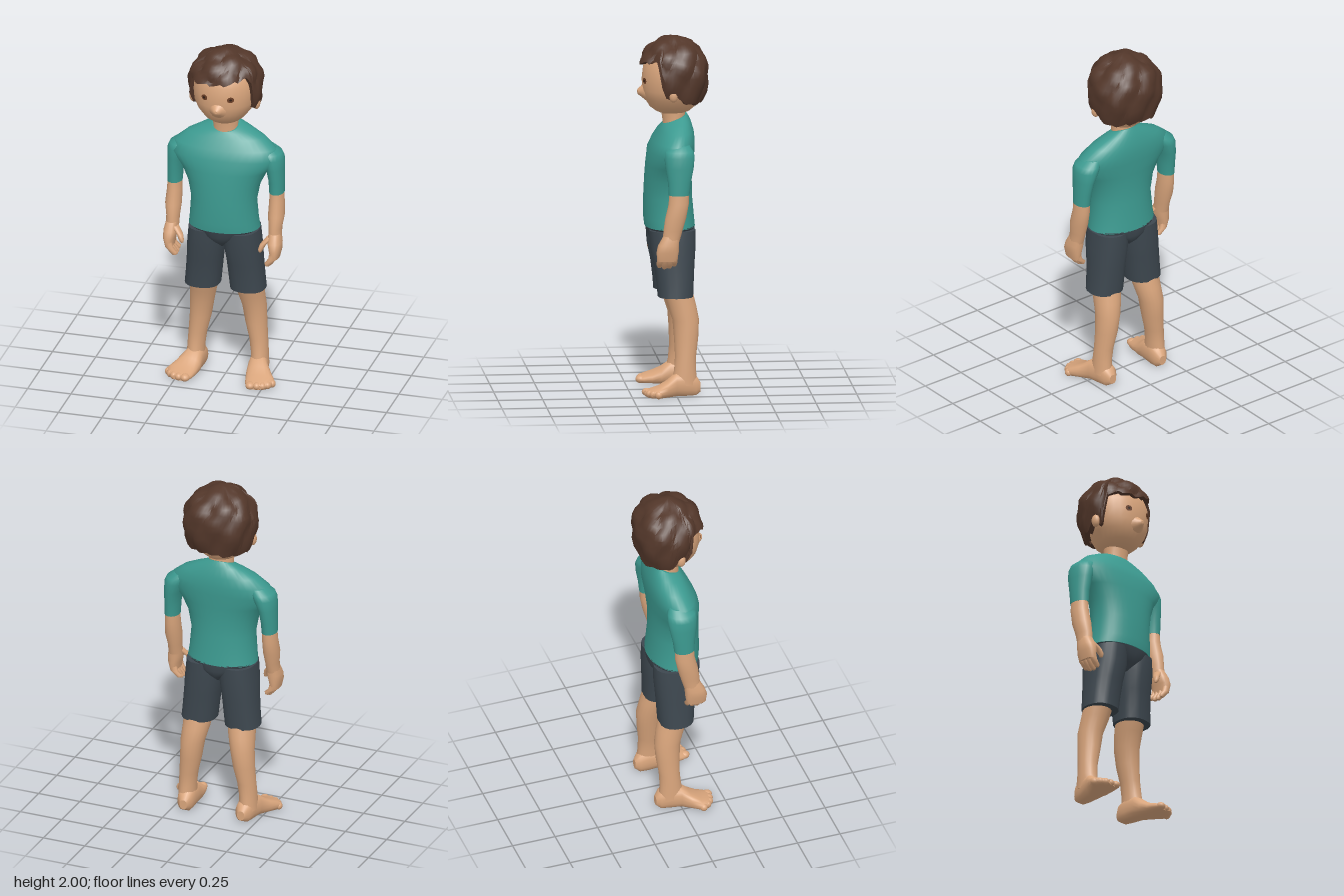
import * as THREE from 'three';
import { toCreasedNormals } from 'three/addons/utils/BufferGeometryUtils.js';

const mat = (name, color) => {
  const m = new THREE.MeshStandardMaterial({ color });
  m.name = name;
  return m;
};

// Loft through rings [along, centreX, radiusX, back, front, tilt]. Rings rise along y;
// with axis 'z' they run from front to back and back/front mean bottom/top.
// side = -1 mirrors the part in x.
function loft(rings, { side = 1, n = 20, power = 2, axis = 'y' } = {}) {
  const pos = [], idx = [];
  const tri = (a, b, c) => (side < 0 ? idx.push(a, c, b) : idx.push(a, b, c));
  const put = (x, a, d) => {
    if (axis === 'z') pos.push(side * x, Math.max(0, d), a);
    else pos.push(side * x, a, d);
    return pos.length / 3 - 1;
  };
  const bend = (v) => Math.sign(v) * Math.abs(v) ** (2 / power);
  const ring = ([a, cx, rx, b, f, tilt = 0]) => {
    const start = pos.length / 3;
    for (let i = 0; i < n; i++) {
      const t = (i / n) * Math.PI * 2, s = bend(Math.sin(t));
      put(cx + rx * bend(Math.cos(t)), a + tilt * s, (b + f) / 2 + ((f - b) / 2) * s);
    }
    return start;
  };
  const starts = rings.map(ring);
  for (let j = 0; j < starts.length - 1; j++) {
    for (let i = 0; i < n; i++) {
      const k = (i + 1) % n, p = starts[j], q = starts[j + 1];
      tri(p + i, q + i, p + k);
      tri(p + k, q + i, q + k);
    }
  }
  // End caps with their own vertices, so rims stay crisp
  [rings[0], rings[rings.length - 1]].forEach((r, end) => {
    const s = ring(r), c = put(r[1], r[0], (r[3] + r[4]) / 2);
    for (let i = 0; i < n; i++) {
      const k = (i + 1) % n;
      if (end) tri(c, s + k, s + i);
      else tri(c, s + i, s + k);
    }
  });
  const g = new THREE.BufferGeometry();
  g.setAttribute('position', new THREE.Float32BufferAttribute(pos, 3));
  g.setIndex(idx);
  g.computeVertexNormals();
  return g;
}

// Hairline height by angle from the front, in degrees
const HAIRLINE = [[-180, 1.64], [-130, 1.63], [-100, 1.65], [-87, 1.7], [-78, 1.66], [-68, 1.67], [-62, 1.84], [-25, 1.84],
  [0, 1.845], [25, 1.86], [52, 1.88], [62, 1.84], [68, 1.68], [78, 1.66], [87, 1.7], [100, 1.65], [130, 1.63], [180, 1.64]];
function hairline(deg) {
  const k = Math.max(1, HAIRLINE.findIndex((p) => p[0] >= deg));
  const [a, b] = [HAIRLINE[k - 1], HAIRLINE[k]];
  return a[1] + ((b[1] - a[1]) * (deg - a[0])) / (b[0] - a[0]);
}

// Shell of rounded tufts that ends along the hairline
function hairGeometry() {
  const tufts = [];
  for (let i = 0; i < 34; i++) {
    const y = 1 - (2 * i) / 34, r = Math.sqrt(1 - y * y);
    tufts.push(new THREE.Vector3(r * Math.cos(i * 2.4), y, r * Math.sin(i * 2.4)));
  }
  const N = 60, M = 12, pos = [], idx = [], dir = new THREE.Vector3();
  for (let j = 0; j <= M + 1; j++) {
    for (let i = 0; i < N; i++) {
      const deg = (i / N) * 360 - 180, a = (deg * Math.PI) / 180;
      const edge = hairline(deg) + 0.01 * ((i % 4) / 2 - 0.75);
      const phi = Math.acos((edge - 1.8) / (edge > 1.8 ? 0.2 : 0.28)) * Math.min(1, j / M);
      const sx = Math.sin(a), cz = Math.cos(a), c = Math.cos(phi);
      // Fuller below the middle and towards the back corners
      const s = c < 0 ? Math.sin(phi) ** 0.75 : Math.sin(phi);
      const full = cz < 0 ? (Math.abs(sx) ** 2.5 + Math.abs(cz) ** 2.5) ** -0.4 : 1;
      dir.set(Math.sin(phi) * sx, c, Math.sin(phi) * cz);
      const lump = 1 + 1.5 * (Math.max(...tufts.map((t) => t.dot(dir))) - 0.98);
      const out = s * full * lump * (j > M ? 0.82 : 1);
      pos.push(0.21 * sx * out, 1.8 + c * (c > 0 ? 0.194 * lump : 0.28), cz * (cz > 0 ? 0.198 : 0.196) * out);
    }
  }
  for (let j = 0; j <= M; j++) {
    for (let i = 0; i < N; i++) {
      const k = (i + 1) % N, p = j * N, q = p + N;
      if (j > 0) idx.push(p + i, q + i, p + k);
      idx.push(p + k, q + i, q + k);
    }
  }
  const g = new THREE.BufferGeometry();
  g.setAttribute('position', new THREE.Float32BufferAttribute(pos, 3));
  g.setIndex(idx);
  return toCreasedNormals(g, 0.6);
}

export function createModel() {
  const root = new THREE.Group();
  root.name = 'standingBoy';
  const skin = mat('skin', 0xd9a57c), shirt = mat('teal shirt', 0x3c9a90), shorts = mat('dark grey shorts', 0x3d474f);
  const hair = mat('brown hair', 0x53372a), iris = mat('eye brown', 0x6b4027), pupil = mat('pupil dark', 0x2f1c14);
  hair.side = THREE.DoubleSide;
  const add = (name, geometry, material) => {
    const m = new THREE.Mesh(geometry, material);
    m.name = name;
    root.add(m);
    return m;
  };
  const ball = (name, material, p, s) => {
    const m = add(name, new THREE.SphereGeometry(1, 14, 10), material);
    m.position.set(...p);
    m.scale.set(...s);
    return m;
  };

  // Head
  add('head', loft([
    [1.56, 0, 0.05, -0.05, 0.06], [1.575, 0, 0.085, -0.09, 0.095], [1.6, 0, 0.115, -0.12, 0.13],
    [1.65, 0, 0.152, -0.145, 0.162], [1.7, 0, 0.174, -0.16, 0.173], [1.76, 0, 0.18, -0.165, 0.175],
    [1.82, 0, 0.18, -0.165, 0.168], [1.88, 0, 0.16, -0.15, 0.145], [1.94, 0, 0.1, -0.09, 0.09], [1.96, 0, 0.03, -0.03, 0.03],
  ], { n: 28 }), skin);
  // Nose: a soft cone that blends into the face
  add('nose', loft([
    [0.2, 0, 0.008, 1.678, 1.694], [0.196, 0, 0.017, 1.668, 1.701], [0.182, 0, 0.028, 1.658, 1.712], [0.155, 0, 0.055, 1.635, 1.74],
  ], { axis: 'z' }), skin);
  add('neck', loft([[1.46, 0, 0.075, -0.07, 0.06], [1.53, 0, 0.07, -0.065, 0.06], [1.6, 0, 0.075, -0.07, 0.07]]), skin);
  add('hair', hairGeometry(), hair);

  // Shirt body, with a collar that dips at the front
  add('shirtBody', loft([
    [0.93, 0, 0.202, -0.12, 0.16], [0.98, 0, 0.195, -0.115, 0.166], [1.1, 0, 0.186, -0.104, 0.165],
    [1.2, 0, 0.206, -0.102, 0.16], [1.28, 0, 0.245, -0.108, 0.153], [1.36, 0, 0.312, -0.115, 0.142],
    [1.415, 0, 0.29, -0.117, 0.117], [1.47, 0, 0.222, -0.112, 0.085], [1.51, 0, 0.14, -0.095, 0.068, -0.015],
    [1.532, 0, 0.08, -0.077, 0.06, -0.026],
  ], { n: 36, power: 2.1 }), shirt);

  // Shorts seat, narrowing to the crotch
  add('shortsSeat', loft([
    [0.815, 0, 0.015, -0.06, 0.08], [0.85, 0, 0.06, -0.1, 0.125], [0.89, 0, 0.16, -0.117, 0.147], [0.935, 0, 0.2, -0.119, 0.157],
  ], { n: 28, power: 2.2 }), shorts);

  for (const side of [1, -1]) {
    const label = side > 0 ? 'left' : 'right';

    // Face details
    ball(label + 'Ear', skin, [side * 0.182, 1.69, 0.015], [0.022, 0.038, 0.026]);
    const disc = (name, r, lift, material) => {
      const m = add(label + name, new THREE.CircleGeometry(r, 16), material);
      m.position.set(side * (0.074 + lift * 0.39), 1.757, 0.163 + lift * 0.92);
      m.rotation.y = side * 0.4;
      m.scale.y = 0.85;
    };
    disc('Iris', 0.02, 0.003, iris);
    disc('Pupil', 0.008, 0.006, pupil);

    // Sleeve and arm
    add(label + 'Sleeve', loft([
      [1.15, 0.294, 0.042, -0.064, 0.052], [1.22, 0.292, 0.044, -0.072, 0.056], [1.3, 0.284, 0.051, -0.088, 0.068],
      [1.36, 0.268, 0.066, -0.095, 0.075], [1.39, 0.255, 0.066, -0.09, 0.07], [1.42, 0.23, 0.05, -0.07, 0.045],
    ], { side }), shirt);
    add(label + 'Arm', loft([
      [0.89, 0.297, 0.037, -0.008, 0.085], [0.95, 0.295, 0.037, -0.025, 0.082], [1.02, 0.297, 0.046, -0.045, 0.072],
      [1.1, 0.295, 0.042, -0.06, 0.053], [1.18, 0.294, 0.038, -0.06, 0.048],
    ], { side }), skin);

    // Hand with curled fingers and a thumb
    add(label + 'Palm', loft([
      [0.78, 0.303, 0.024, 0.006, 0.116], [0.83, 0.305, 0.034, -0.003, 0.122], [0.87, 0.3, 0.04, -0.004, 0.11], [0.92, 0.296, 0.034, -0.01, 0.083],
    ], { side, power: 2.4 }), skin);
    for (let i = 0; i < 4; i++) {
      const z = 0.02 + i * 0.027, low = [0.015, 0.003, 0, 0.008][i];
      add(label + 'Finger' + (i + 1), loft([
        [0.73 + low, 0.268, 0.012, z - 0.01, z + 0.01], [0.745 + low, 0.273, 0.021, z - 0.017, z + 0.017],
        [0.78, 0.296, 0.022, z - 0.018, z + 0.018], [0.83, 0.308, 0.022, z - 0.018, z + 0.018],
      ], { side, n: 10 }), skin);
    }
    add(label + 'Thumb', loft([
      [0.815, 0.226, 0.008, 0.085, 0.103], [0.83, 0.228, 0.014, 0.078, 0.112],
      [0.86, 0.24, 0.018, 0.064, 0.106], [0.9, 0.275, 0.02, 0.035, 0.085],
    ], { side, n: 10 }), skin);

    // Shorts leg and leg
    add(label + 'ShortsLeg', loft([
      [0.55, 0.131, 0.1, -0.1, 0.098], [0.62, 0.124, 0.1, -0.103, 0.104], [0.72, 0.115, 0.101, -0.108, 0.117],
      [0.82, 0.105, 0.105, -0.115, 0.138], [0.92, 0.1, 0.1, -0.115, 0.145],
    ], { side, power: 2.3 }), shorts);
    add(label + 'Leg', loft([
      [0.06, 0.185, 0.05, -0.12, 0.03], [0.14, 0.183, 0.049, -0.11, 0.012], [0.22, 0.175, 0.052, -0.112, 0.006],
      [0.32, 0.16, 0.061, -0.125, 0.01], [0.42, 0.15, 0.068, -0.13, 0.018], [0.5, 0.138, 0.076, -0.115, 0.045],
      [0.58, 0.13, 0.082, -0.095, 0.07],
    ], { side }), skin);

    // Foot turned outward, with five short toes
    add(label + 'Foot', loft([
      [0.175, 0.212, 0.045, 0.004, 0.036], [0.145, 0.226, 0.073, -0.004, 0.048], [0.1, 0.228, 0.086, -0.008, 0.062],
      [0.05, 0.206, 0.074, -0.01, 0.09], [0.0, 0.188, 0.058, -0.01, 0.13], [-0.06, 0.18, 0.052, -0.012, 0.135],
      [-0.11, 0.176, 0.044, -0.008, 0.11], [-0.135, 0.174, 0.022, 0.015, 0.07],
    ], { side, axis: 'z', power: 2.3 }), skin);
    [[0.188, 0.163, 0.027], [0.225, 0.16, 0.023], [0.255, 0.152, 0.022], [0.28, 0.134, 0.021], [0.299, 0.108, 0.02]]
      .forEach(([x, z, r], i) => ball(label + 'Toe' + (i + 1), skin, [side * x, 0.022, z], [r, 0.022, r * 1.1]));
  }
  return root;
}
